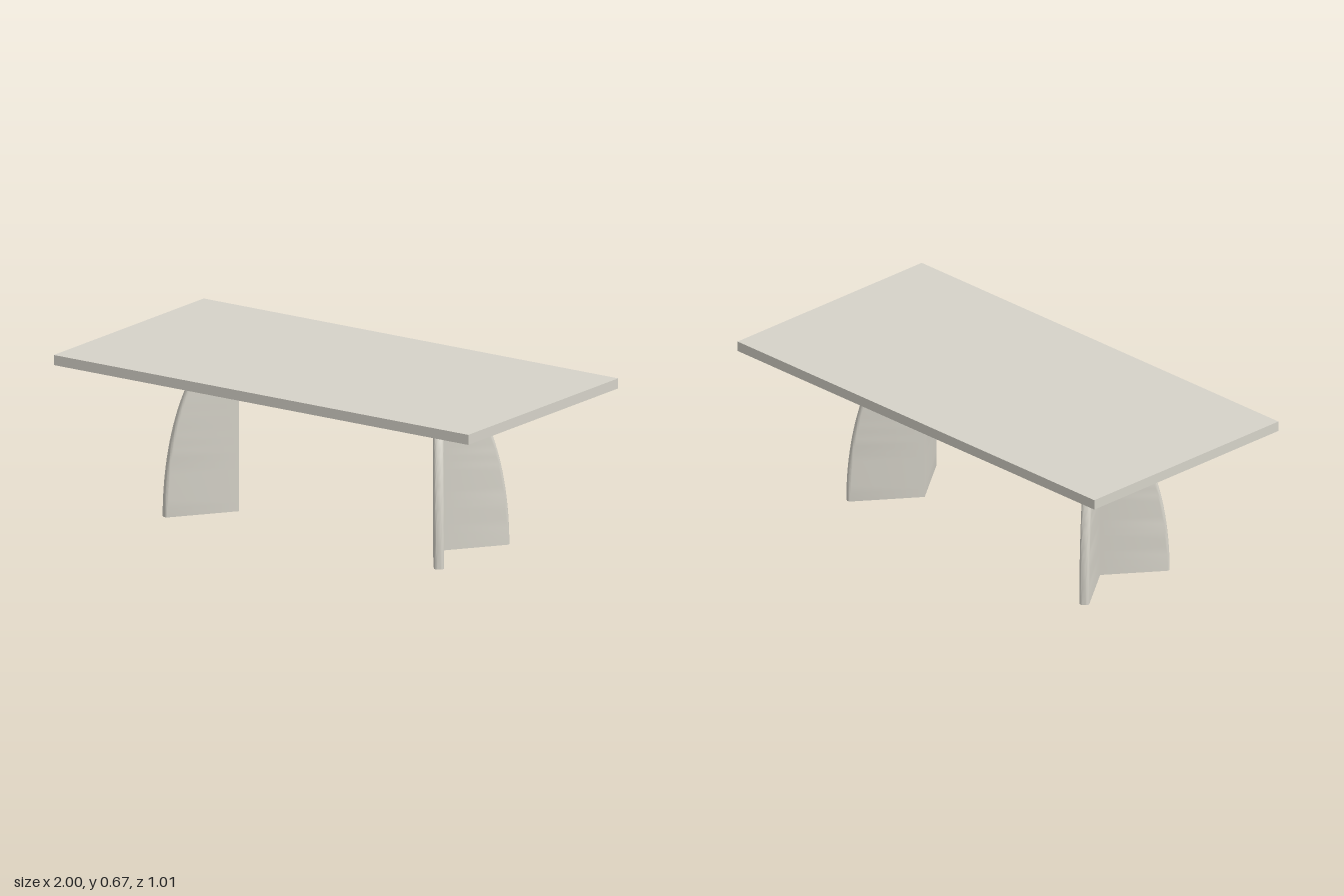
import * as THREE from 'three';
import { toCreasedNormals } from 'three/addons/utils/BufferGeometryUtils.js';

const TOP_Y = 0.665, UNDER_Y = 0.624;   // table top slab
const APEX_X = 0.467;                   // outer corner of each V-shaped leg
const THICK = 0.04, FILLET = 0.014;     // panel thickness and rim rounding
const REACH = 0.307, ARC_HEIGHT = 0.71; // panel length at the floor, height of its elliptical curve
const ANGLE = Math.atan2(0.242, 0.178); // splay of a panel from the x axis

// Horizontal section of a panel: outer face, rounded rim, inner face, as [x, z]
function section(length, side) {
  const c = Math.cos(ANGLE), s = Math.sin(ANGLE);
  const local = [[0, 0]];
  for (const [centre, start] of [[FILLET, -Math.PI / 2], [THICK - FILLET, 0]]) {
    for (let i = 0; i <= 5; i++) {
      const a = start + (i / 5) * Math.PI / 2;
      local.push([length - FILLET + FILLET * Math.cos(a), centre + FILLET * Math.sin(a)]);
    }
  }
  local.push([THICK * c / s, THICK]); // inner corner lies on the mirror plane
  return local.map(([u, v]) => [APEX_X + u * c + v * s, side * (u * s - v * c)]);
}

// Panel lofted upward, its reach shrinking along an ellipse
function panelGeometry(side) {
  const levels = 28, pos = [], index = [];
  let n = 0;
  for (let j = 0; j <= levels; j++) {
    const y = UNDER_Y * Math.sin((j / levels) * Math.PI / 2);
    const pts = section(REACH * Math.sqrt(1 - (y / ARC_HEIGHT) ** 2), side);
    n = pts.length;
    for (const [x, z] of pts) pos.push(x, y, z);
  }
  const tri = (a, b, c) => (side > 0 ? index.push(a, b, c) : index.push(a, c, b));
  for (let j = 0; j < levels; j++) {
    for (let i = 0; i < n - 1; i++) {
      const a = j * n + i, b = a + 1, c = a + n, d = c + 1;
      tri(a, b, d);
      tri(a, d, c);
    }
  }
  const last = levels * n;
  for (let i = 1; i < n - 1; i++) {
    tri(0, i + 1, i);                  // foot
    tri(last, last + i, last + i + 1); // head
  }
  const g = new THREE.BufferGeometry();
  g.setAttribute('position', new THREE.Float32BufferAttribute(pos, 3));
  g.setIndex(index);
  return toCreasedNormals(g, 0.6);
}

export function createModel() {
  const model = new THREE.Group();
  model.name = 'table';
  const stone = new THREE.MeshStandardMaterial({ color: 0xd6d3c9 });
  stone.name = 'warm grey';

  // Table top
  const top = new THREE.Mesh(new THREE.BoxGeometry(2, TOP_Y - UNDER_Y, 1.012), stone);
  top.name = 'tableTop';
  top.position.y = (TOP_Y + UNDER_Y) / 2;
  model.add(top);

  // Two V-shaped legs, opening toward the ends
  const panels = [panelGeometry(1), panelGeometry(-1)];
  for (const name of ['leftLeg', 'rightLeg']) {
    const leg = new THREE.Group();
    leg.name = name;
    panels.forEach((g, i) => {
      const panel = new THREE.Mesh(g, stone);
      panel.name = name + 'Panel' + (i + 1);
      leg.add(panel);
    });
    if (name === 'rightLeg') leg.rotation.y = Math.PI;
    model.add(leg);
  }
  return model;
}
